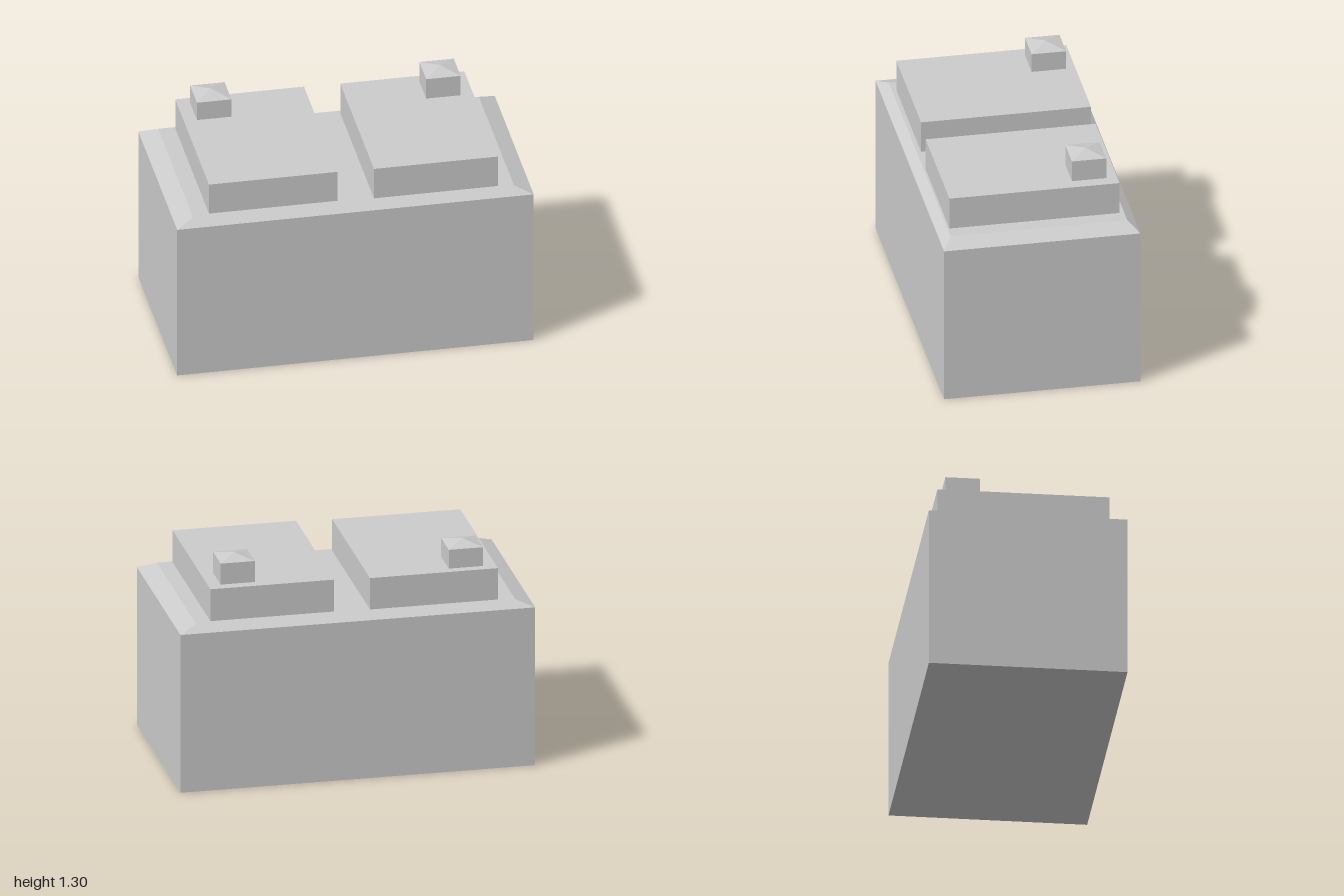
import * as THREE from 'three';

const material = new THREE.MeshStandardMaterial({ color: 0xcccccc, flatShading: true });

function addPart(parent, name, geometry) {
  const mesh = new THREE.Mesh(geometry, material);
  mesh.name = name;
  parent.add(mesh);
}

// Box given by its extents
function block(x0, x1, y0, y1, z0, z1) {
  return new THREE.BoxGeometry(x1 - x0, y1 - y0, z1 - z0)
    .translate((x0 + x1) / 2, (y0 + y1) / 2, (z0 + z1) / 2);
}

// Four-sided roof over a rectangle; topRatio is the size of its top relative to its base
function hipRoof(x0, x1, y0, y1, z0, z1, topRatio) {
  return new THREE.CylinderGeometry(topRatio * Math.SQRT1_2, Math.SQRT1_2, 1, 4, 1, topRatio === 0)
    .rotateY(Math.PI / 4)
    .scale(x1 - x0, y1 - y0, z1 - z0)
    .translate((x0 + x1) / 2, (y0 + y1) / 2, (z0 + z1) / 2);
}

export function createModel() {
  const model = new THREE.Group();
  model.name = 'building';

  // Main body with a shallow sloped roof edge
  addPart(model, 'mainBody', block(-1, 1, 0, 0.926, -0.55, 0.55));
  addPart(model, 'slopedRoof', hipRoof(-1, 1, 0.926, 0.963, -0.55, 0.55, 0.9));

  // Two rooftop blocks, each with a capped vent near the back outer corner
  const units = [
    { side: 'right', x: [-0.806, -0.084], z: [-0.481, 0.471], top: 1.147,
      ventX: [-0.733, -0.54], ventZ: [-0.429, -0.236], ventTop: 1.257, peak: 1.283 },
    { side: 'left', x: [0.117, 0.813], z: [-0.469, 0.484], top: 1.15,
      ventX: [0.549, 0.742], ventZ: [-0.409, -0.216], ventTop: 1.273, peak: 1.298 },
  ];
  for (const u of units) {
    const unit = new THREE.Group();
    unit.name = u.side + 'RoofUnit';
    addPart(unit, u.side + 'RoofBlock', block(...u.x, 0.95, u.top, ...u.z));
    addPart(unit, u.side + 'Vent', block(...u.ventX, u.top, u.ventTop, ...u.ventZ));
    addPart(unit, u.side + 'VentCap', hipRoof(...u.ventX, u.ventTop, u.peak, ...u.ventZ, 0));
    model.add(unit);
  }
  return model;
}
